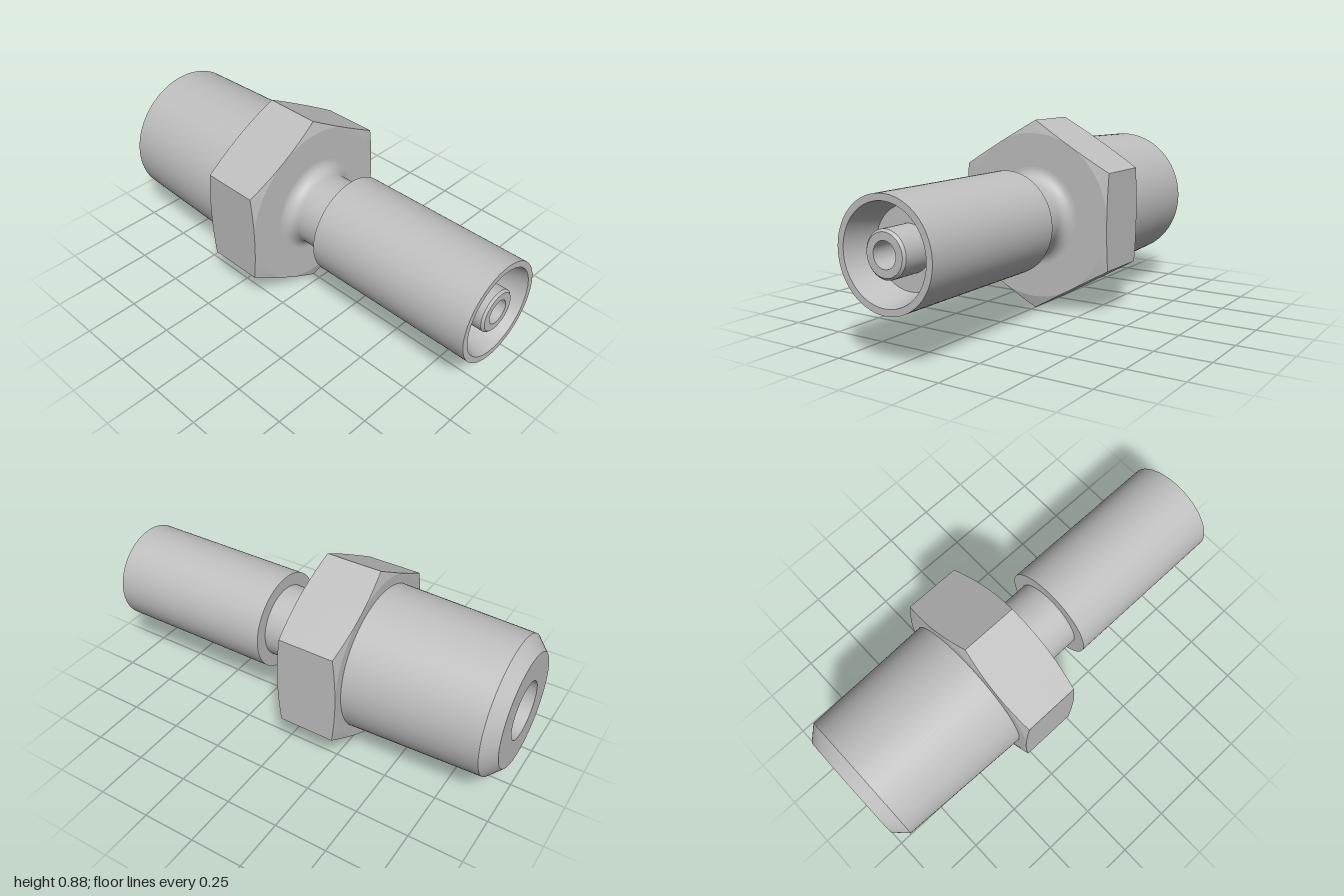
import * as THREE from 'three';
import { mergeGeometries } from 'three/addons/utils/BufferGeometryUtils.js';

const AXIS_Y = 0.4425;
const APOTHEM = 0.383;

// Revolves [x, radius] points about the x axis; each list is one smooth band, edges between lists stay sharp
function turned(bands) {
  const parts = bands.map((band) =>
    new THREE.LatheGeometry(band.map(([x, r]) => new THREE.Vector2(r, x)), 96));
  return mergeGeometries(parts).rotateZ(-Math.PI / 2);
}

// Splits a profile into straight, sharp-edged bands
function segments(points) {
  return points.slice(1).map((p, i) => [points[i], p]);
}

// Hexagonal prism along x whose corners are cut by a shallow cone at both ends
function hexGeometry(xl, xr) {
  const slope = 0.26, steps = 16, pos = [];
  const section = (angle, middle) => {
    const r = APOTHEM / Math.cos(angle - middle);
    const cut = (r - APOTHEM) * slope;
    return [[xl, 0.2], [xl, APOTHEM], [xl + cut, r], [xr - cut, r], [xr, APOTHEM], [xr, 0.17]]
      .map(([x, q]) => [x, q * Math.cos(angle), q * Math.sin(angle)]);
  };
  for (let side = 0; side < 6; side++) {
    const start = side * Math.PI / 3, middle = start + Math.PI / 6;
    for (let s = 0; s < steps; s++) {
      const a = section(start + (s / steps) * Math.PI / 3, middle);
      const b = section(start + ((s + 1) / steps) * Math.PI / 3, middle);
      for (let k = 0; k < a.length - 1; k++) {
        pos.push(...a[k], ...b[k], ...b[k + 1], ...a[k], ...b[k + 1], ...a[k + 1]);
      }
    }
  }
  const g = new THREE.BufferGeometry();
  g.setAttribute('position', new THREE.Float32BufferAttribute(pos, 3));
  g.computeVertexNormals();
  return g;
}

export function createModel() {
  const group = new THREE.Group();
  const steel = new THREE.MeshStandardMaterial({ color: 0xbfbfbf });
  steel.name = 'steel grey';
  const add = (name, geometry) => {
    const mesh = new THREE.Mesh(geometry, steel);
    mesh.name = name;
    mesh.position.y = AXIS_Y;
    group.add(mesh);
  };

  // Slightly tapered pipe end with a chamfered mouth
  add('taperedEnd', turned(segments([[-1, 0.133], [-1, 0.26], [-0.94, 0.32], [-0.31, 0.338]])));

  add('hexNut', hexGeometry(-0.315, -0.022));

  // Neck with a rounded fillet running out of the hexagon
  const fillet = [];
  for (let i = 0; i <= 10; i++) {
    const t = (i / 10) * Math.PI / 2;
    fillet.push([0.034 - 0.056 * Math.cos(t), 0.228 - 0.056 * Math.sin(t)]);
  }
  add('neck', turned([fillet, [[0.034, 0.172], [0.19, 0.172]]]));

  // Sleeve with a conical socket
  add('sleeve', turned(segments([
    [0.19, 0.172], [0.19, 0.2325], [1, 0.2325], [1, 0.204], [0.85, 0.172], [0.85, 0.098],
  ])));

  // Inner tube standing in the socket
  add('innerTube', turned(segments([[0.85, 0.098], [0.985, 0.098], [0.995, 0.088], [0.995, 0.055]])));

  // Stepped bore through the whole fitting
  add('bore', turned(segments([[0.995, 0.055], [-0.2, 0.055], [-0.25, 0.133], [-1, 0.133]])));

  return group;
}
